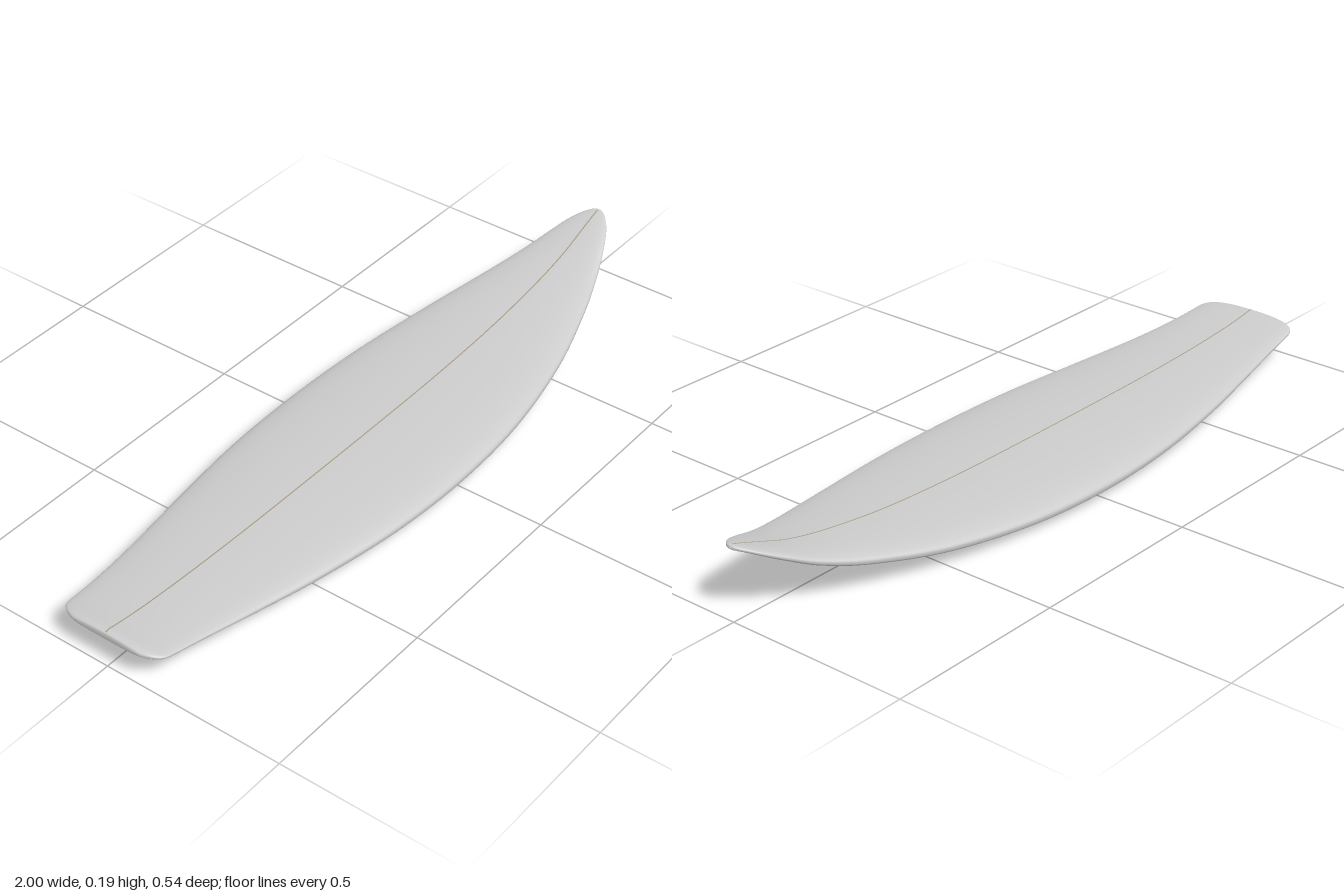
import * as THREE from 'three';

// Stations from tail to nose: x, half width, deck height, bottom height
const STATIONS = [
  [-1, 0.08, 0.094, 0.085], [-0.997, 0.105, 0.1, 0.08], [-0.985, 0.132, 0.102, 0.077],
  [-0.965, 0.149, 0.099, 0.073], [-0.93, 0.155, 0.094, 0.067], [-0.85, 0.165, 0.086, 0.055],
  [-0.7, 0.19, 0.077, 0.035], [-0.5, 0.226, 0.071, 0.017], [-0.25, 0.26, 0.069, 0.005],
  [0, 0.27, 0.069, 0], [0.25, 0.256, 0.072, 0.007], [0.5, 0.213, 0.085, 0.028],
  [0.7, 0.157, 0.11, 0.063], [0.82, 0.115, 0.135, 0.098], [0.9, 0.082, 0.162, 0.135],
  [0.95, 0.056, 0.18, 0.161], [0.98, 0.032, 0.19, 0.176], [0.995, 0.014, 0.193, 0.182],
  [1, 0.001, 0.188, 0.186],
];
const ROWS = 108;
const SIDES = 56;

const spline = (pick) => new THREE.CatmullRomCurve3(
  STATIONS.map((s) => new THREE.Vector3(...pick(s))), false, 'catmullrom', 0.5);
const outline = spline(([x, w]) => [x, w, 0]);
const rocker = spline(([x, , top, bottom]) => [x, top, bottom]);

function station(t) {
  const { x, y: width } = outline.getPoint(t);
  const { y: top, z: bottom } = rocker.getPoint(t);
  return { x, width, top, bottom };
}

function buildGeometry(positions, indices) {
  const geometry = new THREE.BufferGeometry();
  geometry.setAttribute('position', new THREE.Float32BufferAttribute(positions, 3));
  geometry.setIndex(indices);
  geometry.computeVertexNormals();
  return geometry;
}

// Rounded-rail cross-sections: domed deck, flatter underside
function boardGeometry() {
  const positions = [];
  const indices = [];
  const power = (v, n) => Math.sign(v) * Math.abs(v) ** (2 / n);
  for (let i = -1; i <= ROWS + 1; i++) {
    const { x, width, top, bottom } = station(THREE.MathUtils.clamp(i / ROWS, 0, 1));
    const size = i < 0 || i > ROWS ? 0 : 1; // collapsed end rows close the hull
    const rail = bottom + (top - bottom) * 0.45;
    for (let k = 0; k < SIDES; k++) {
      const a = (k / SIDES) * Math.PI * 2;
      const upper = k <= SIDES / 2;
      const n = upper ? 2.2 : 3.2;
      const rise = upper ? top - rail : rail - bottom;
      positions.push(x, rail + size * rise * power(Math.sin(a), n), size * width * power(Math.cos(a), n));
    }
  }
  for (let i = 0; i < ROWS + 2; i++) {
    for (let k = 0; k < SIDES; k++) {
      const a = i * SIDES + k;
      const b = i * SIDES + ((k + 1) % SIDES);
      indices.push(a, a + SIDES, b, b, a + SIDES, b + SIDES);
    }
  }
  return buildGeometry(positions, indices);
}

// Thin centre strip following the deck (side = 1) or the underside (side = -1)
function stringerGeometry(side) {
  const positions = [];
  const indices = [];
  const half = 0.0018;
  for (let i = 0; i <= ROWS; i++) {
    const { x, top, bottom } = station(0.06 + 0.86 * (i / ROWS));
    const y = side > 0 ? top + 0.0006 : Math.max(bottom - 0.0006, -0.0006);
    positions.push(x, y, half * side, x, y, -half * side);
    if (i < ROWS) {
      const a = i * 2;
      indices.push(a, a + 2, a + 1, a + 1, a + 2, a + 3);
    }
  }
  return buildGeometry(positions, indices);
}

export function createModel() {
  const group = new THREE.Group();
  group.name = 'surfboard';
  const add = (name, geometry, material) => {
    const mesh = new THREE.Mesh(geometry, material);
    mesh.name = name;
    group.add(mesh);
  };

  add('board', boardGeometry(), new THREE.MeshStandardMaterial({ color: 0xcccccc }));

  const wood = new THREE.MeshStandardMaterial({ color: 0xa89c84, side: THREE.DoubleSide });
  add('deckStringer', stringerGeometry(1), wood);
  add('bottomStringer', stringerGeometry(-1), wood);
  return group;
}
